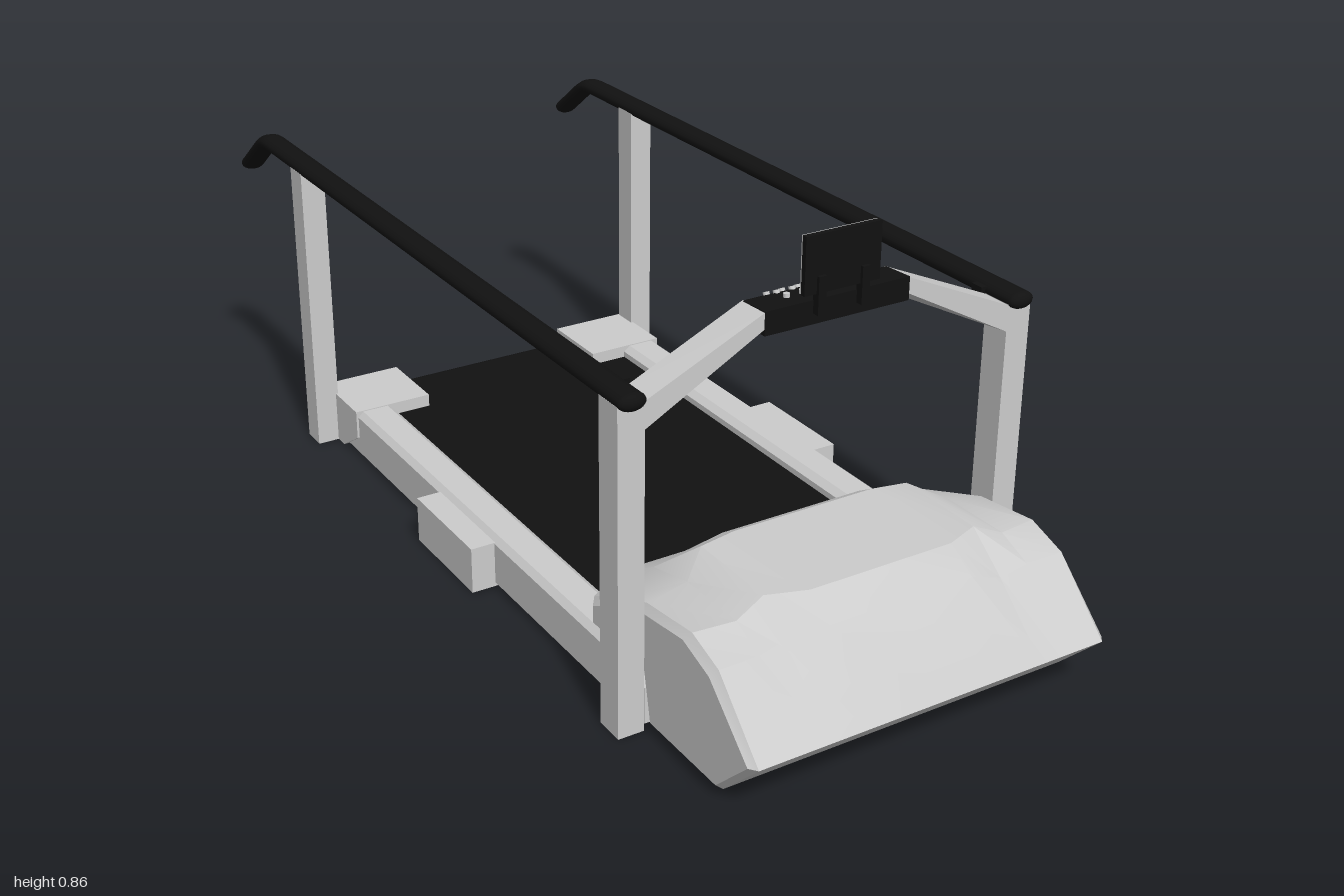
import * as THREE from 'three';
import { toCreasedNormals } from 'three/addons/utils/BufferGeometryUtils.js';
import { ConvexGeometry } from 'three/addons/geometries/ConvexGeometry.js';

const grey = new THREE.MeshStandardMaterial({ color: 0xcccccc });
const black = new THREE.MeshStandardMaterial({ color: 0x111111 });
const teal = new THREE.MeshStandardMaterial({ color: 0x0a8096 });

export function createModel() {
  const model = new THREE.Group();
  const add = (name, geometry, material = grey, parent = model) => {
    const mesh = new THREE.Mesh(geometry, material);
    mesh.name = name;
    parent.add(mesh);
    return mesh;
  };
  // Box given by its min and max on each axis
  const box = (name, [x0, x1], [y0, y1], [z0, z1], material, parent) => {
    const g = new THREE.BoxGeometry(x1 - x0, y1 - y0, z1 - z0);
    g.translate((x0 + x1) / 2, (y0 + y1) / 2, (z0 + z1) / 2);
    return add(name, g, material, parent);
  };
  const span = (s, a, b) => (s > 0 ? [a, b] : [-b, -a]);
  const hull = (points) => new ConvexGeometry(points.map((p) => new THREE.Vector3(...p)));

  // Deck, running belt and rear roller
  box('deckBase', [-0.37, 0.37], [0.002, 0.075], [-0.65, 0.66]);
  box('belt', [-0.3, 0.3], [0.07, 0.085], [-0.655, 0.6], black);
  const roller = new THREE.CylinderGeometry(0.028, 0.028, 0.42, 20);
  roller.rotateZ(Math.PI / 2);
  add('rearRoller', roller, black).position.set(0, 0.057, -0.661);
  const bar = new THREE.CylinderGeometry(0.02, 0.02, 0.44, 16);
  bar.rotateZ(Math.PI / 2);
  add('rearBar', bar).position.set(0, 0.022, -0.66);

  // Handrail path, shared by both sides
  const v = (y, z) => new THREE.Vector3(0, y, z);
  const railPath = new THREE.CurvePath();
  railPath.add(new THREE.LineCurve3(v(0.64, 0.675), v(0.64, -0.84)));
  railPath.add(new THREE.QuadraticBezierCurve3(v(0.64, -0.84), v(0.64, -0.87), v(0.622, -0.893)));
  railPath.add(new THREE.LineCurve3(v(0.622, -0.893), v(0.556, -0.982)));

  for (const s of [1, -1]) {
    const side = new THREE.Group();
    side.name = s > 0 ? 'leftSide' : 'rightSide';
    model.add(side);

    // Side rail with bevelled edges, extruded along the deck
    const profile = [[0.295, 0.01], [0.37, 0.004], [0.38, 0.012], [0.38, 0.098], [0.368, 0.11], [0.31, 0.11], [0.295, 0.098]];
    const shape = new THREE.Shape(profile.map(([x, y]) => new THREE.Vector2(s * x, y)));
    const rail = new THREE.ExtrudeGeometry(shape, { depth: 1.24, bevelEnabled: false });
    rail.translate(0, 0, -0.62);
    add('sideRail', rail, grey, side);

    // Rear corner block and mid-length outrigger
    const block = [];
    for (const x of [0.21, 0.385]) {
      block.push([s * x, 0, -0.69], [s * x, 0.112, -0.69], [s * x, 0, -0.6], [s * x, 0.112, -0.52], [s * x, 0.05, -0.52]);
    }
    add('rearCornerBlock', hull(block), grey, side);
    box('sideOutrigger', span(s, 0.37, 0.43), [0.004, 0.1], [-0.12, 0.12], grey, side);

    // Upright posts
    box('frontPost', span(s, 0.38, 0.432), [0, 0.635], [0.615, 0.675], grey, side);
    box('rearPost', span(s, 0.38, 0.432), [0, 0.635], [-0.686, -0.63], grey, side);

    // Flattened handrail with rounded ends
    const handrail = new THREE.Group();
    handrail.name = 'handrail';
    handrail.position.x = s * 0.406;
    handrail.scale.x = 1.65;
    side.add(handrail);
    add('grip', new THREE.TubeGeometry(railPath, 90, 0.0165, 16), black, handrail);
    for (const [y, z] of [[0.64, 0.675], [0.556, -0.982]]) {
      add('gripEnd', new THREE.SphereGeometry(0.0165, 16, 12), black, handrail).position.set(0, y, z);
    }
    box('railBracket', span(s, 0.37, 0.4), [0.625, 0.648], [0.585, 0.612], black, side);

    // Sloping arm from the post up to the console
    add('consoleArm', hull([
      [s * 0.385, 0.58, 0.675], [s * 0.385, 0.632, 0.675], [s * 0.385, 0.58, 0.612], [s * 0.385, 0.632, 0.612],
      [s * 0.148, 0.708, 0.675], [s * 0.148, 0.738, 0.675], [s * 0.148, 0.69, 0.607], [s * 0.148, 0.735, 0.607],
    ]), grey, side);
  }

  // Console body, narrowing toward the runner
  const consolePoints = [];
  for (const s of [1, -1]) {
    consolePoints.push(
      [s * 0.15, 0.739, 0.676], [s * 0.15, 0.735, 0.61], [s * 0.1, 0.705, 0.55],
      [s * 0.1, 0.666, 0.562], [s * 0.15, 0.695, 0.62], [s * 0.15, 0.695, 0.676]);
  }
  add('console', hull(consolePoints), black);

  // Three rows of buttons
  const button = new THREE.CylinderGeometry(0.006, 0.006, 0.01, 10);
  for (const [y, z] of [[0.739, 0.637], [0.734, 0.608], [0.72, 0.579]]) {
    for (let i = 0; i < 6; i++) {
      const b = add('button', button);
      b.position.set(-0.08 + i * 0.032, y, z);
      b.rotation.x = z < 0.61 ? -0.45 : -0.06;
    }
  }

  // Display: black shell, grey bezel and screen facing the runner
  box('displayShell', [-0.078, 0.078], [0.753, 0.859], [0.674, 0.684], black);
  box('displayBezel', [-0.077, 0.077], [0.754, 0.858], [0.67, 0.675]);
  box('displayScreen', [-0.063, 0.063], [0.771, 0.845], [0.668, 0.672], teal);
  for (const x of [-0.045, 0.045]) {
    box('displayStand', [x - 0.008, x + 0.008], [0.715, 0.785], [0.674, 0.69], black);
  }

  // Motor hood, lofted across the width; [x, profile of [z, y]]
  const half = [
    [0, [[0.68, 0.015], [0.9, 0.015], [1, 0.113], [0.89, 0.255], [0.83, 0.292], [0.6, 0.292], [0.565, 0.272], [0.52, 0.18], [0.52, 0.113], [0.67, 0.113]]],
    [0.15, [[0.68, 0.015], [0.9, 0.015], [1, 0.113], [0.89, 0.255], [0.83, 0.292], [0.6, 0.292], [0.565, 0.272], [0.52, 0.18], [0.52, 0.113], [0.67, 0.113]]],
    [0.225, [[0.68, 0.015], [0.9, 0.015], [1, 0.113], [0.88, 0.225], [0.8, 0.289], [0.61, 0.289], [0.56, 0.255], [0.51, 0.19], [0.51, 0.113], [0.67, 0.113]]],
    [0.285, [[0.68, 0.015], [0.9, 0.015], [1, 0.113], [0.88, 0.235], [0.81, 0.264], [0.66, 0.262], [0.55, 0.235], [0.43, 0.165], [0.43, 0.117], [0.67, 0.113]]],
    [0.365, [[0.68, 0.015], [0.9, 0.015], [1, 0.113], [0.88, 0.235], [0.8, 0.262], [0.66, 0.245], [0.58, 0.215], [0.48, 0.165], [0.48, 0.117], [0.67, 0.113]]],
    [0.377, [[0.69, 0.024], [0.895, 0.024], [0.985, 0.113], [0.87, 0.22], [0.79, 0.247], [0.66, 0.23], [0.58, 0.202], [0.495, 0.155], [0.495, 0.122], [0.67, 0.12]]],
  ];
  const sections = [...half.slice(1).reverse().map(([x, p]) => [-x, p]), ...half];
  const n = half[0][1].length;
  const pos = sections.flatMap(([x, p]) => p.flatMap(([z, y]) => [x, y, z]));
  const index = [];
  for (let i = 0; i < sections.length - 1; i++) {
    for (let j = 0; j < n; j++) {
      const a = i * n + j, b = i * n + ((j + 1) % n);
      index.push(a, a + n, b, b, a + n, b + n);
    }
  }
  const last = (sections.length - 1) * n;
  const outline = half[half.length - 1][1].map(([z, y]) => new THREE.Vector2(z, y));
  for (const [a, b, c] of THREE.ShapeUtils.triangulateShape(outline, [])) {
    index.push(a, b, c, last + a, last + c, last + b);
  }
  const hood = new THREE.BufferGeometry();
  hood.setAttribute('position', new THREE.Float32BufferAttribute(pos, 3));
  hood.setIndex(index);
  add('motorHood', toCreasedNormals(hood, 0.4));

  return model;
}
